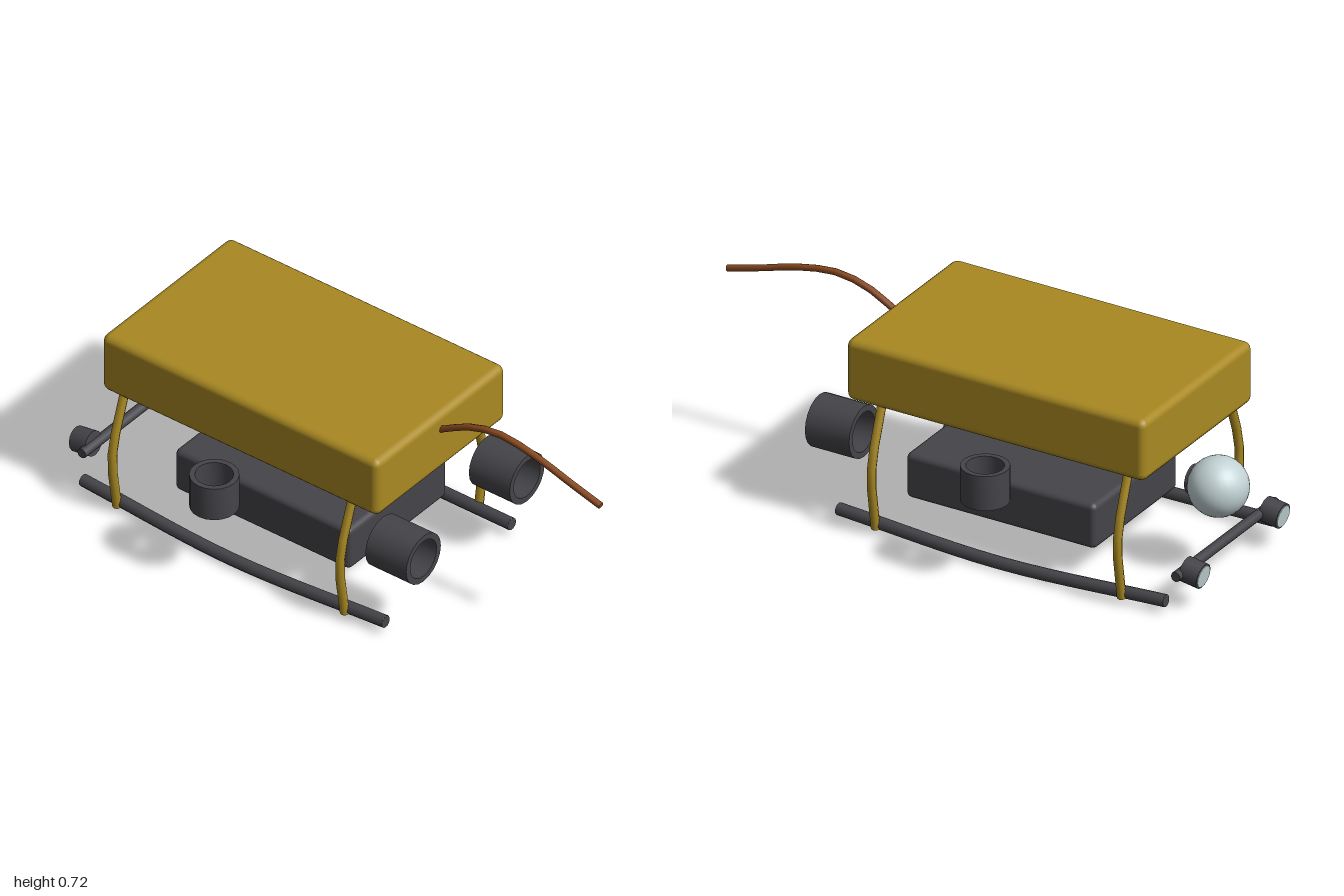
import * as THREE from 'three';
import { mergeGeometries, toCreasedNormals } from 'three/addons/utils/BufferGeometryUtils.js';
import { RoundedBoxGeometry } from 'three/addons/geometries/RoundedBoxGeometry.js';

function material(name, color) {
  const m = new THREE.MeshStandardMaterial({ color });
  m.name = name;
  return m;
}

export function createModel() {
  const root = new THREE.Group();
  root.name = 'underwaterVehicle';
  const gold = material('ochre yellow', 0xa98922);
  const dark = material('charcoal', 0x454449);
  const glass = material('pale glass', 0xc2d2d4);
  const copper = material('copper brown', 0x8a4a20);

  function add(name, geometry, mat, x = 0, y = 0, z = 0, parent = root) {
    const mesh = new THREE.Mesh(geometry, mat);
    mesh.name = name;
    mesh.position.set(x, y, z);
    parent.add(mesh);
    return mesh;
  }

  // Round bar swept through points, closed at both ends
  function rod(points, radius, segments, sides = 8) {
    const curve = new THREE.CatmullRomCurve3(points.map(p => new THREE.Vector3(...p)));
    const parts = [new THREE.TubeGeometry(curve, segments, radius, sides)];
    for (const t of [0, 1]) {
      const dir = curve.getTangent(t).multiplyScalar(t ? 1 : -1);
      const turn = new THREE.Quaternion().setFromUnitVectors(new THREE.Vector3(0, 0, 1), dir);
      const end = curve.getPoint(t);
      parts.push(new THREE.CircleGeometry(radius, sides).applyQuaternion(turn).translate(end.x, end.y, end.z));
    }
    return mergeGeometries(parts);
  }

  // Open-ended duct with wall thickness, axis along y
  function duct(outer, inner, length, sides = 20) {
    const h = length / 2;
    const profile = [[inner, -h], [outer, -h], [outer, h], [inner, h], [inner, -h]]
      .map(p => new THREE.Vector2(...p));
    return toCreasedNormals(new THREE.LatheGeometry(profile, sides), 0.7);
  }

  // Float block and equipment housing
  add('floatBlock', new RoundedBoxGeometry(0.69, 0.225, 1.15, 2, 0.026), gold, 0, 0.572, -0.24);
  add('equipmentHousing', new RoundedBoxGeometry(0.524, 0.165, 0.73, 2, 0.02), dark, 0, 0.193, -0.21);

  for (const s of [1, -1]) {
    const side = s > 0 ? 'left' : 'right';

    // Thrusters
    add(side + 'FrontThruster', duct(0.093, 0.071, 0.17), dark, s * 0.277, 0.32, 0.39).rotation.x = Math.PI / 2;
    add(side + 'VerticalThruster', duct(0.083, 0.064, 0.127), dark, s * 0.445, 0.362, -0.265);

    // Bowed legs
    for (const [end, z] of [['Front', 0.21], ['Rear', -0.737]]) {
      add(side + end + 'Leg', rod([
        [s * 0.315, 0.475, z], [s * 0.383, 0.25, z], [s * 0.358, 0.025, z],
      ], 0.016, 6), gold);
    }

    // Curved skid
    add(side + 'Skid', rod([
      [s * 0.337, 0.046, 0.365], [s * 0.358, 0.026, -0.265], [s * 0.337, 0.046, -0.895],
    ], 0.022, 14, 10), dark);

    // Rear lamp, tilted slightly down
    const lamp = new THREE.Group();
    lamp.name = side + 'Lamp';
    lamp.position.set(s * 0.251, 0.128, -0.952);
    lamp.rotation.x = -Math.PI / 2 - 0.15;
    root.add(lamp);
    add('lampHousing', new THREE.CylinderGeometry(0.045, 0.045, 0.068, 14), dark, 0, 0, 0, lamp);
    add('lampLens', new THREE.CylinderGeometry(0.039, 0.039, 0.006, 14), glass, 0, 0.034, 0, lamp);
  }

  // Rear lamp bar
  add('lampBar', new THREE.CylinderGeometry(0.018, 0.018, 0.63, 8), dark, 0, 0.13, -0.918)
    .rotation.z = Math.PI / 2;

  // Camera dome with its ring
  add('cameraDome', new THREE.SphereGeometry(0.104, 28, 18), glass, 0, 0.32, -0.891);
  add('domeRing', duct(0.052, 0.042, 0.026), dark, 0, 0.32, -0.803).rotation.x = Math.PI / 2;

  // Tether cable
  add('tether', rod([
    [0, 0.615, 0.32], [0, 0.69, 0.46], [0, 0.714, 0.58],
    [0, 0.692, 0.73], [0, 0.652, 0.865], [0, 0.615, 0.998],
  ], 0.012, 10), copper);

  return root;
}
